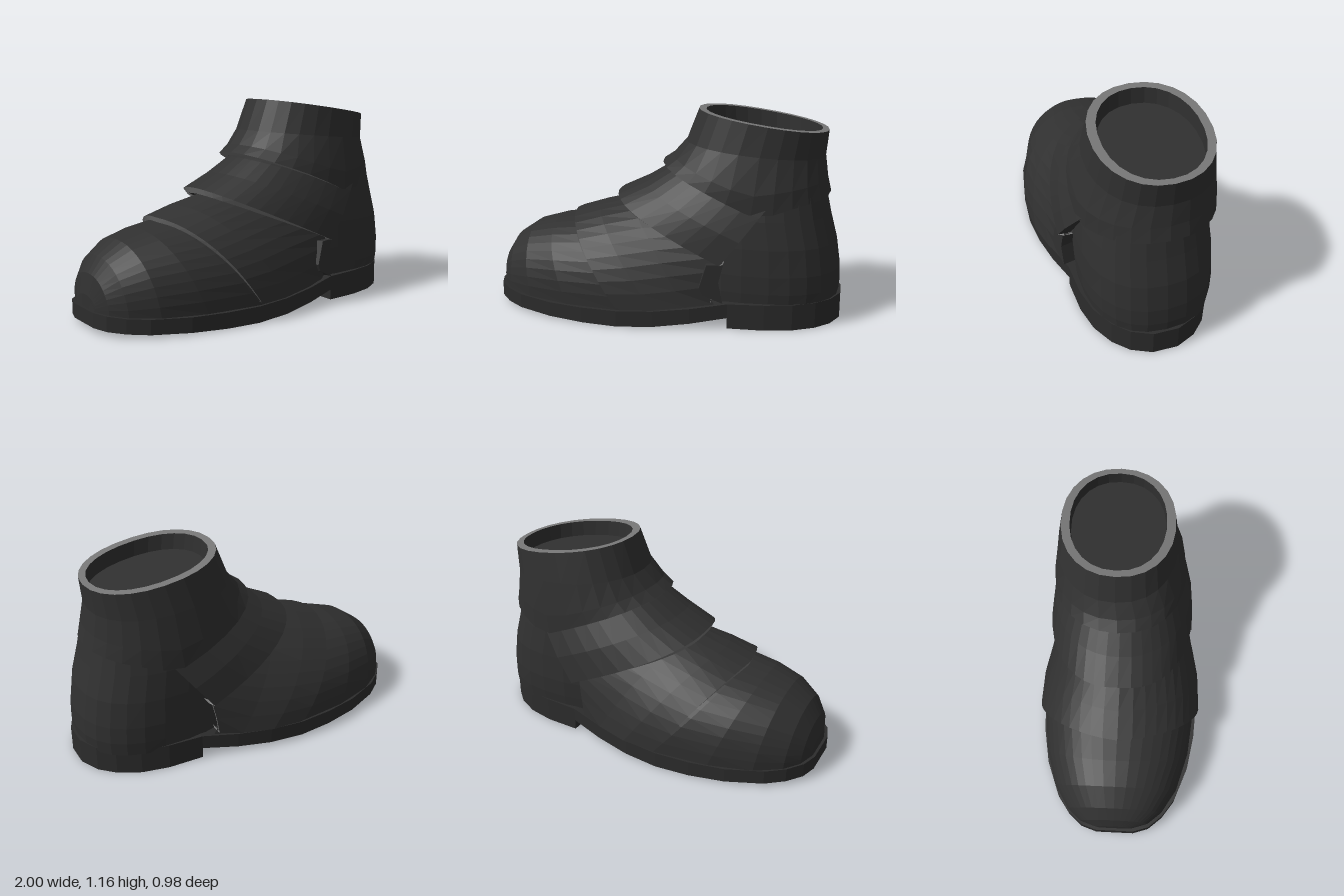
import * as THREE from 'three';

const mat = (name, color) =>
  new THREE.MeshStandardMaterial({ name, color, flatShading: true, side: THREE.DoubleSide });

// Skin a list of equal-length point rows; closed joins each row's ends.
function loft(name, rows, material, closed = false) {
  const n = rows[0].length, pos = rows.flat(2), idx = [];
  for (let i = 0; i < rows.length - 1; i++) {
    for (let j = 0; j < (closed ? n : n - 1); j++) {
      const k = (j + 1) % n;
      const a = i * n + j, b = a + n, c = i * n + k, d = c + n;
      idx.push(a, b, c, b, d, c);
    }
  }
  const g = new THREE.BufferGeometry();
  g.setAttribute('position', new THREE.Float32BufferAttribute(pos, 3));
  g.setIndex(idx);
  g.computeVertexNormals();
  const mesh = new THREE.Mesh(g, material);
  mesh.name = name;
  return mesh;
}

const spow = (v, p) => Math.sign(v) * Math.abs(v) ** p;

// Arch over the foot: crest (cx, cy), feet at (bx, by, +-bz), bulge pushes the middle back.
function arch([cx, cy, bx, by, bz, bulge = 0], zc = -0.005) {
  const pts = [], n = 22;
  for (let j = 0; j <= n; j++) {
    const t = Math.PI / 2 - (Math.PI * j) / n;
    const f = 1 - Math.max(0, Math.cos(t)) ** 0.9;
    pts.push([
      cx + (bx - cx) * f + bulge * Math.abs(Math.sin(2 * t)),
      cy + (by - cy) * f,
      zc + bz * spow(Math.sin(t), 0.9),
    ]);
  }
  // feet fold inward to give the panel thickness
  const [px, py] = pts[0];
  return [[px, py, zc + bz * 0.84], ...pts, [px, py, zc - bz * 0.84]];
}

// Level or tilted ring; y is a function of x.
function ring(x0, x1, z0, z1, yOf, p = 0.92) {
  const pts = [], n = 26;
  for (let j = 0; j < n; j++) {
    const a = (2 * Math.PI * j) / n;
    const x = (x0 + x1) / 2 + ((x1 - x0) / 2) * spow(Math.cos(a), p);
    pts.push([x, yOf(x), (z0 + z1) / 2 + ((z1 - z0) / 2) * spow(Math.sin(a), p)]);
  }
  return pts;
}

// Piecewise straight line through [x, y] pairs.
const line = (...p) => (x) => {
  let i = 0;
  while (i < p.length - 2 && x > p[i + 1][0]) i++;
  const [a, b] = [p[i], p[i + 1]];
  return a[1] + ((b[1] - a[1]) * (x - a[0])) / (b[0] - a[0]);
};

export function createModel() {
  const boot = new THREE.Group();
  boot.name = 'boot';
  const leather = mat('black leather', 0x303030);
  const rubber = mat('dark sole', 0x2c2c2c);
  const trim = mat('grey cut edge', 0x777777);

  // Sole with stepped heel: x, half width, bottom, top
  const stations = [
    [-1, 0.11, 0.03, 0.11], [-0.97, 0.2, 0.027, 0.108], [-0.9, 0.28, 0.022, 0.102],
    [-0.8, 0.35, 0.017, 0.097], [-0.6, 0.425, 0.01, 0.092], [-0.4, 0.46, 0.003, 0.09],
    [-0.2, 0.472, 0, 0.09], [0, 0.455, 0.008, 0.097], [0.2, 0.42, 0.03, 0.115],
    [0.4, 0.37, 0.06, 0.14], [0.4, 0.37, 0, 0.14], [0.6, 0.36, 0, 0.145],
    [0.75, 0.325, 0, 0.145], [0.87, 0.26, 0, 0.145], [0.95, 0.18, 0, 0.145], [1, 0.07, 0, 0.145],
  ];
  const soleRows = stations.map(([x, w, lo, hi]) =>
    [[x, hi, w], [x, hi, -w], [x, lo, -w], [x, lo, w]]);
  const tip = (row) => row.map(([x, y]) => [x, y, 0]);
  boot.add(loft('sole', [tip(soleRows[0]), ...soleRows, tip(soleRows.at(-1))], rubber, true));

  // Toe cap, running on beneath the vamp
  const toe = [
    [-0.985, 0.1, -0.985, 0.1, 0.09], [-0.985, 0.18, -0.98, 0.1, 0.11],
    [-0.965, 0.29, -0.95, 0.1, 0.2], [-0.91, 0.375, -0.88, 0.09, 0.28],
    [-0.8, 0.45, -0.74, 0.09, 0.365], [-0.66, 0.49, -0.5, 0.09, 0.43],
    [-0.53, 0.512, -0.18, 0.09, 0.46], [-0.4, 0.53, 0, 0.09, 0.448], [0, 0.6, 0.35, 0.1, 0.37],
  ];
  boot.add(loft('toeCap', toe.map((s) => arch(s)), leather));

  // Overlapping panels with a cut edge at the front, and at the back of the vamp
  const inset = ([cx, cy, bx, by, bz, b], dx) =>
    [cx + dx, cy - 0.035, bx + dx, by, bz * 0.92, b];
  function panel(name, sections, zc, backEdge) {
    const first = sections[0], last = sections.at(-1);
    boot.add(loft(name, sections.map((s) => arch(s, zc)), leather));
    boot.add(loft(name + 'FrontEdge', [arch(inset(first, 0.015), zc), arch(first, zc)], trim));
    if (backEdge) {
      boot.add(loft(name + 'BackEdge', [arch(last, zc), arch(inset(last, -0.01), zc)], trim));
    }
  }
  panel('vamp', [
    [-0.555, 0.54, -0.2, 0.115, 0.488, 0.03], [-0.4, 0.59, 0, 0.115, 0.478, 0.03],
    [-0.24, 0.635, 0.18, 0.13, 0.44, 0.06], [0.1, 0.71, 0.31, 0.15, 0.4, 0.18],
  ], -0.003, true);
  panel('instep', [
    [-0.285, 0.675, 0.36, 0.37, 0.43, -0.015], [-0.13, 0.75, 0.46, 0.5, 0.41],
    [0, 0.83, 0.56, 0.63, 0.365], [0.06, 0.86, 0.6, 0.68, 0.345],
  ], -0.013, false);

  // Heel counter: y, front, back, half width
  const counter = [
    [0.12, 0.1, 0.985, 0.345], [0.2, 0.1, 0.992, 0.355], [0.3, 0.1, 0.988, 0.36],
    [0.45, 0.12, 0.965, 0.355], [0.6, 0.12, 0.925, 0.34], [0.78, 0.15, 0.885, 0.31],
  ];
  boot.add(loft('heelCounter', counter.map(([y, a, b, w]) =>
    ring(a, b, -w - 0.007, w - 0.007, () => y, 0.85)), leather, true));

  // Ankle cuff
  const hem = line([-0.03, 0.86], [0.3, 0.73], [0.55, 0.62], [0.72, 0.67], [0.92, 0.71]);
  const hemRing = ring(-0.03, 0.92, -0.412, 0.355, hem);
  const top = line([0.17, 1.16], [0.895, 1.05]);
  const outerTop = ring(0.17, 0.895, -0.36, 0.27, top);
  boot.add(loft('cuff', [
    hemRing,
    ring(0.03, 0.9, -0.408, 0.345, line([0.03, 0.9], [0.5, 0.74], [0.9, 0.79])),
    ring(0.1, 0.882, -0.385, 0.293, line([0.1, 0.98], [0.882, 0.91])),
    outerTop,
  ], leather, true));
  boot.add(loft('cuffHemEdge',
    [ring(0.02, 0.87, -0.37, 0.315, (x) => hem(x) - 0.005), hemRing], trim, true));

  // Rim, inner wall and the floor inside the opening
  const innerTop = ring(0.21, 0.86, -0.313, 0.22, top);
  const innerLow = ring(0.22, 0.86, -0.31, 0.22, (x) => top(x) - 0.09);
  boot.add(loft('rim', [outerTop, innerTop], trim, true));
  boot.add(loft('innerWall', [innerTop, innerLow], leather, true));
  boot.add(loft('innerFloor',
    [innerLow, innerLow.map(() => [0.54, top(0.54) - 0.09, -0.045])], leather, true));

  // Small folded tab where the panels meet on one side
  const tabShape = new THREE.Shape(
    [[0.23, 0.24], [0.27, 0.37], [0.36, 0.37], [0.335, 0.27], [0.36, 0.15], [0.25, 0.2]]
      .map(([x, y]) => new THREE.Vector2(x, y)));
  const tab = new THREE.Mesh(
    new THREE.ExtrudeGeometry(tabShape, { depth: 0.08, bevelEnabled: false }), leather);
  tab.geometry.translate(-0.3, 0, 0);
  tab.position.set(0.3, 0, 0.33);
  tab.rotation.y = 0.25;
  tab.name = 'sideTab';
  boot.add(tab);

  return boot;
}
